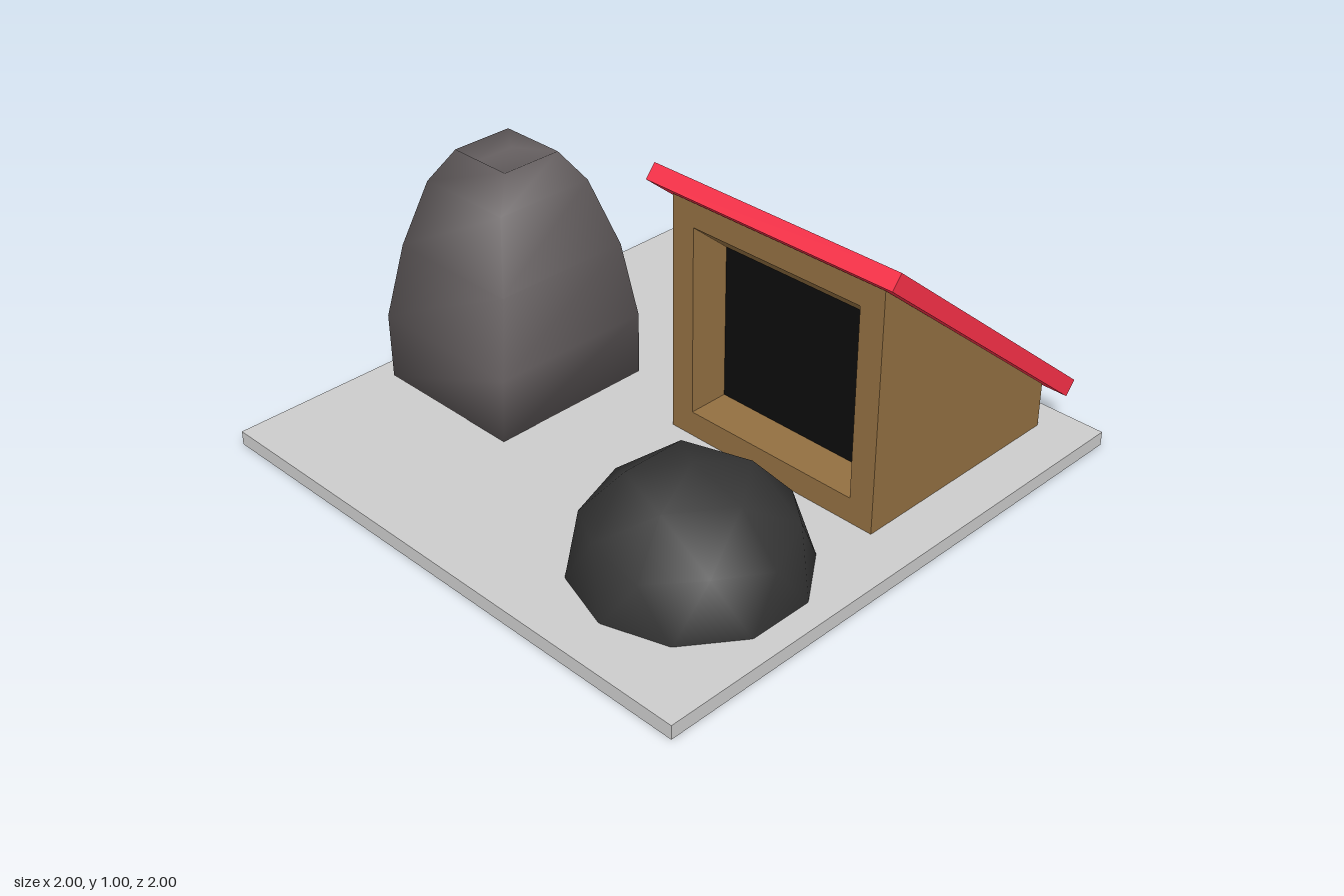
import * as THREE from 'three';

const mat = (color) => new THREE.MeshStandardMaterial({ color, side: THREE.DoubleSide });
const RED = 0xf83048, BROWN = 0x926f41, BLACK = 0x0c0c0c, LEAF = 0x343434, STONE = 0x635d5e;

function named(name, geometry, color) {
  const mesh = new THREE.Mesh(geometry, mat(color));
  mesh.name = name;
  return mesh;
}

// Flat four-cornered faces, corners counter-clockwise seen from outside
function quads(list) {
  const pos = [];
  for (const [a, b, c, d] of list) pos.push(...a, ...b, ...c, ...a, ...c, ...d);
  const g = new THREE.BufferGeometry();
  g.setAttribute('position', new THREE.Float32BufferAttribute(pos, 3));
  g.computeVertexNormals();
  return g;
}

// Ground slab, hollow underneath
function makeGround() {
  const c = [[-1, 1], [1, 1], [1, -1], [-1, -1]];
  const at = (i, y) => [c[i % 4][0], y, c[i % 4][1]];
  const faces = [[0, 1, 2, 3].map((i) => at(i, 0.05))];
  for (let i = 0; i < 4; i++) faces.push([at(i, 0), at(i + 1, 0), at(i + 1, 0.05), at(i, 0.05)]);
  return named('ground', quads(faces), 0xcccccc);
}

function makeHouse() {
  const house = new THREE.Group();
  house.name = 'house';
  const x0 = -0.03, x1 = 0.825, zF = -0.034, zB = -0.884, y0 = 0.046, yF = 0.907, yB = 0.212;
  const ox0 = 0.06, ox1 = 0.735, oy0 = 0.14, oy1 = 0.82, zIn = -0.184, yIn = 0.695;

  // Front frame around the doorway
  const rect = (P, a, b, c, d) => new P([[a, c], [b, c], [b, d], [a, d]].map((p) => new THREE.Vector2(...p)));
  const front = rect(THREE.Shape, x0, x1, y0, yF);
  front.holes.push(rect(THREE.Path, ox0, ox1, oy0, oy1));
  const frame = named('frontWall', new THREE.ShapeGeometry(front), BROWN);
  frame.position.z = zF;

  // Side walls with a sloping top
  const sides = named('sideWalls', quads([
    [[x1, y0, zF], [x1, y0, zB], [x1, yB, zB], [x1, yF, zF]],
    [[x0, y0, zB], [x0, y0, zF], [x0, yF, zF], [x0, yB, zB]],
  ]), BROWN);

  // Recess behind the doorway, with a sloping ceiling
  const recess = named('doorRecess', quads([
    [[ox0, oy0, zF], [ox1, oy0, zF], [ox1, oy0, zIn], [ox0, oy0, zIn]],
    [[ox0, yIn, zIn], [ox1, yIn, zIn], [ox1, oy1, zF], [ox0, oy1, zF]],
    [[ox0, oy0, zF], [ox0, oy0, zIn], [ox0, yIn, zIn], [ox0, oy1, zF]],
    [[ox1, oy0, zIn], [ox1, oy0, zF], [ox1, oy1, zF], [ox1, yIn, zIn]],
  ]), BROWN);
  const dark = named('darkDoorway', quads([
    [[ox0, oy0, zIn], [ox1, oy0, zIn], [ox1, yIn, zIn], [ox0, yIn, zIn]],
  ]), BLACK);

  // Red back wall and floor
  const back = named('backWallAndFloor', quads([
    [[x1, y0, zB], [x0, y0, zB], [x0, yB, zB], [x1, yB, zB]],
    [[x0, y0, zB], [x1, y0, zB], [x1, y0, zF], [x0, y0, zF]],
  ]), RED);

  // Slanted roof board
  const roof = named('roof', new THREE.BoxGeometry(0.985, 0.0595, 1.232), RED);
  roof.position.set(0.396, 0.5825, -0.478);
  roof.rotation.x = -Math.atan2(0.781, 0.953);

  house.add(frame, sides, recess, dark, back, roof);
  return house;
}

// Bush: upper half of a coarse ball standing on one of its points
function makeBush() {
  const g = new THREE.IcosahedronGeometry(0.382, 1);
  g.rotateZ(-Math.atan2(1, (1 + Math.sqrt(5)) / 2));
  const p = g.attributes.position;
  const keep = [];
  for (let i = 0; i < p.count; i += 3) {
    if (p.getY(i) + p.getY(i + 1) + p.getY(i + 2) > 0.01) keep.push(i, i + 1, i + 2);
  }
  g.setIndex(keep);
  const bush = named('bush', g, LEAF);
  bush.position.set(0.547, 0.042, 0.463);
  return bush;
}

// Boulder: stacked four-cornered sections with a dented top
function makeBoulder() {
  // y, left x, right x, back z, front z
  const sections = [
    [0.045, -0.92, -0.346, -0.185, 0.43],
    [0.28, -0.933, -0.34, -0.18, 0.425],
    [0.56, -0.875, -0.37, -0.13, 0.385],
    [0.795, -0.81, -0.447, -0.06, 0.315],
    [0.9, -0.755, -0.512, 0.01, 0.235],
    [0.865, -0.695, -0.57, 0.05, 0.205],
  ];
  const pos = [], index = [];
  for (const [y, xa, xb, za, zb] of sections) pos.push(xa, y, zb, xb, y, zb, xb, y, za, xa, y, za);
  for (let s = 0; s < sections.length - 1; s++) {
    for (let i = 0; i < 4; i++) {
      const a = s * 4 + i, b = s * 4 + (i + 1) % 4;
      index.push(a, b, b + 4, a, b + 4, a + 4);
    }
  }
  const t = (sections.length - 1) * 4;
  index.push(t, t + 1, t + 2, t, t + 2, t + 3, 0, 2, 1, 0, 3, 2);
  const g = new THREE.BufferGeometry();
  g.setAttribute('position', new THREE.Float32BufferAttribute(pos, 3));
  g.setIndex(index);
  g.computeVertexNormals();
  return named('boulder', g, STONE);
}

export function createModel() {
  const model = new THREE.Group();
  model.name = 'yardWithHouse';
  model.add(makeGround(), makeHouse(), makeBush(), makeBoulder());
  return model;
}
